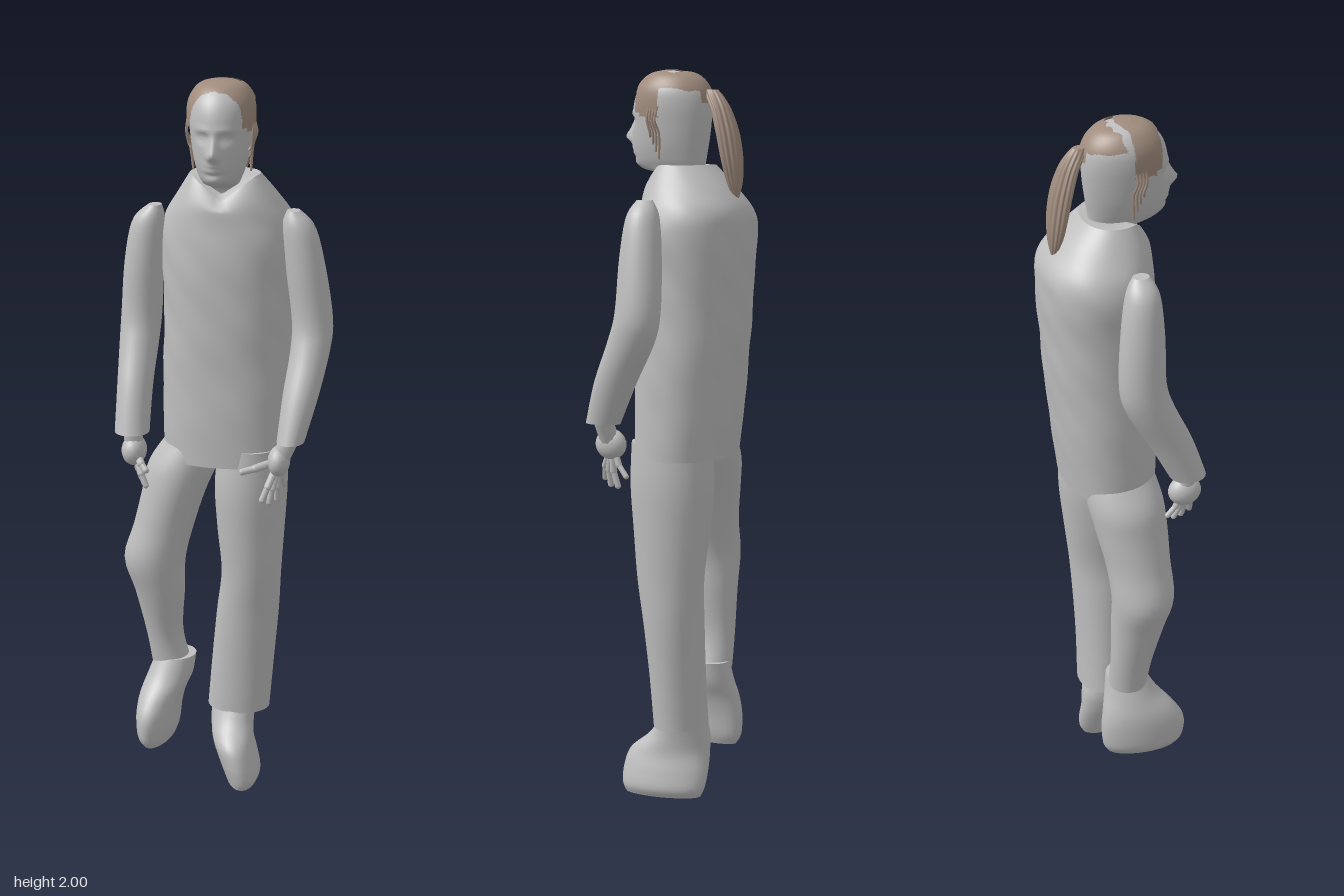
import * as THREE from 'three';

const clothAndSkin = new THREE.MeshStandardMaterial({ color: 0xbebebe });
clothAndSkin.name = 'lightGrey';
const hairBrown = new THREE.MeshStandardMaterial({ color: 0xa08c7e, side: THREE.DoubleSide });
hairBrown.name = 'hairBrown';

const gauss = (d, s) => Math.exp(-(d * d) / (2 * s * s));

// Smoothly interpolates the rows of a cross-section table
function sample(rows, t) {
  const n = rows.length - 1, f = t * n, i = Math.min(Math.floor(f), n - 1), u = f - i;
  const at = (k) => rows[Math.max(0, Math.min(n, k))];
  return rows[0].map((_, c) => {
    const [a, b, d, e] = [at(i - 1)[c], at(i)[c], at(i + 1)[c], at(i + 2)[c]];
    const m1 = (d - a) / 2, m2 = (e - b) / 2, u2 = u * u, u3 = u2 * u;
    return (2 * u3 - 3 * u2 + 1) * b + (u3 - 2 * u2 + u) * m1 + (3 * u2 - 2 * u3) * d + (u3 - u2) * m2;
  });
}

// Lofts horizontal rings [y, centreX, centreZ, radiusX, radiusZ], bottom to top
function loft(rows, { rings = 28, sides = 32, power = 2, shape, keep, caps = true } = {}) {
  const pos = [], idx = [];
  const p = new THREE.Vector3();
  for (let i = 0; i <= rings; i++) {
    const [y, cx, cz, rx, rz] = sample(rows, i / rings);
    for (let j = 0; j < sides; j++) {
      const a = (j / sides) * Math.PI * 2, s = Math.sin(a), c = Math.cos(a), e = 2 / power;
      p.set(cx + rx * Math.sign(s) * Math.abs(s) ** e, y, cz + rz * Math.sign(c) * Math.abs(c) ** e);
      if (shape) shape(p, a, i / rings);
      pos.push(p.x, p.y, p.z);
    }
  }
  const tri = (...v) => {
    const m = [0, 1, 2].map((k) => (pos[v[0] * 3 + k] + pos[v[1] * 3 + k] + pos[v[2] * 3 + k]) / 3);
    if (!keep || keep(...m)) idx.push(...v);
  };
  for (let i = 0; i < rings; i++) {
    for (let j = 0; j < sides; j++) {
      const k = (j + 1) % sides, a = i * sides + j, b = i * sides + k;
      tri(a, b, a + sides);
      tri(b, b + sides, a + sides);
    }
  }
  // End caps own their vertices, so their edges stay sharp
  if (caps) for (const [ring, up] of [[0, false], [rings, true]]) {
    const start = pos.length / 3, mid = [0, 0, 0];
    for (let j = 0; j < sides; j++) for (let k = 0; k < 3; k++) {
      const v = pos[(ring * sides + j) * 3 + k];
      pos.push(v);
      mid[k] += v / sides;
    }
    pos.push(...mid);
    for (let j = 0; j < sides; j++) {
      const a = start + j, b = start + ((j + 1) % sides), m = start + sides;
      if (up) tri(a, b, m); else tri(b, a, m);
    }
  }
  const g = new THREE.BufferGeometry();
  g.setAttribute('position', new THREE.Float32BufferAttribute(pos, 3));
  g.setIndex(idx);
  g.computeVertexNormals();
  return g;
}

function add(parent, name, geometry, material = clothAndSkin) {
  const mesh = new THREE.Mesh(geometry, material);
  mesh.name = name;
  parent.add(mesh);
  return mesh;
}

// Rounded rod between two points
function rod(parent, name, a, b, r) {
  const d = b.clone().sub(a);
  const m = add(parent, name, new THREE.CapsuleGeometry(r, d.length(), 4, 10));
  m.position.copy(a).addScaledVector(d, 0.5);
  m.quaternion.setFromUnitVectors(new THREE.Vector3(0, 1, 0), d.normalize());
}

// Palm, wrist and two-jointed fingers
function hand(parent, name, wrist, palm, scale, fingers) {
  const g = new THREE.Group();
  g.name = name;
  parent.add(g);
  const w = new THREE.Vector3(...wrist), c = new THREE.Vector3(...palm);
  rod(g, 'wrist', w, c, 0.026);
  const p = add(g, 'palm', new THREE.SphereGeometry(1, 20, 14));
  p.position.copy(c);
  p.scale.set(...scale);
  for (const [x, y, z, r] of fingers) {
    const tip = new THREE.Vector3(x, y, z);
    const root = c.clone().lerp(tip, 0.3), joint = c.clone().lerp(tip, 0.65);
    joint.z += 0.006;
    rod(g, 'fingerBase', root, joint, r);
    rod(g, 'fingerTip', joint, tip, r * 0.85);
  }
}

// Head rings given as y, front z, back z, half width
const headRows = [
  [1.66, 0.05, -0.06, 0.052], [1.715, 0.06, -0.06, 0.05], [1.735, 0.125, -0.06, 0.05],
  [1.76, 0.146, -0.063, 0.06], [1.80, 0.152, -0.069, 0.071], [1.85, 0.152, -0.075, 0.079],
  [1.90, 0.149, -0.077, 0.084], [1.94, 0.137, -0.07, 0.081], [1.97, 0.115, -0.05, 0.066],
  [1.988, 0.088, -0.02, 0.044], [1.996, 0.05, 0.03, 0.008],
].map(([y, f, b, rx]) => [y, -0.004, (f + b) / 2, rx, (f - b) / 2]);

// Sculpts nose, brow, eyes, lips and chin on the front of the head
function sculptFace(p) {
  if (p.z < 0.07 || p.y < 1.72) return;
  const x = p.x + 0.004, y = p.y, e = Math.abs(x) - 0.03;
  let d = 0.027 * gauss(x, 0.010) * gauss(y - 1.822, 0.012);
  d += 0.012 * gauss(x, 0.008) * gauss(y - 1.848, 0.014);
  d += 0.007 * gauss(Math.abs(x) - 0.012, 0.006) * gauss(y - 1.814, 0.007);
  d -= 0.012 * gauss(e, 0.013) * gauss(y - 1.862, 0.009);
  d += 0.006 * gauss(e, 0.007) * gauss(y - 1.861, 0.005);
  d += 0.004 * gauss(e, 0.018) * gauss(y - 1.882, 0.006);
  d += 0.010 * gauss(x, 0.017) * gauss(y - 1.785, 0.011);
  d -= 0.006 * gauss(x, 0.018) * gauss(y - 1.785, 0.003);
  d -= 0.005 * gauss(x, 0.022) * gauss(y - 1.768, 0.005);
  d += 0.006 * gauss(x, 0.018) * gauss(y - 1.75, 0.009);
  p.z += d;
}

export function createModel() {
  const model = new THREE.Group();
  model.name = 'walkingPerson';

  // Long loose top with a V neckline
  const torso = [
    [0.955, 0.002, -0.012, 0.174, 0.126], [1.08, 0, -0.02, 0.176, 0.134], [1.25, 0, -0.03, 0.176, 0.142],
    [1.42, 0, -0.036, 0.174, 0.15], [1.55, 0, -0.042, 0.184, 0.15], [1.62, 0, -0.043, 0.172, 0.145],
    [1.68, 0, -0.025, 0.138, 0.12], [1.745, -0.003, -0.004, 0.094, 0.076],
  ];
  add(model, 'top', loft(torso, {
    rings: 48, sides: 56, power: 2.2,
    shape: (p, a, t) => {
      const wave = 0.002 * Math.sin(p.y * 38 + a * 3) * Math.sin(a * 5 + p.y * 9) * Math.sin(t * Math.PI);
      p.x += wave * Math.sin(a);
      p.z += wave * Math.cos(a);
      if (Math.cos(a) > 0) p.y -= 0.06 * Math.max(0, 1 - Math.abs(p.x) / 0.085) * Math.max(0, (t - 0.8) / 0.2);
    },
  }));

  // Sleeves; the centre column differs between the two arms
  const sleeve = (name, xs, cuff) => add(model, name, loft([
    [1.055, xs[0], 0.135, cuff, 0.05], [1.17, xs[1], 0.085, 0.048, 0.06], [1.28, xs[2], 0.028, 0.053, 0.066],
    [1.36, xs[3], 0.006, 0.055, 0.063], [1.5, xs[4], 0.008, 0.053, 0.058], [1.61, xs[5], 0.012, 0.044, 0.045],
    [1.655, xs[6], 0.014, 0.018, 0.022],
  ]));
  sleeve('leftSleeve', [0.202, 0.22, 0.235, 0.236, 0.217, 0.198, 0.184], 0.037);
  sleeve('rightSleeve', [-0.232, -0.234, -0.234, -0.231, -0.222, -0.208, -0.19], 0.047);

  hand(model, 'leftHand', [0.2, 1.06, 0.135], [0.17, 0.995, 0.13], [0.03, 0.042, 0.046], [
    [0.08, 0.975, 0.18, 0.011], [0.132, 0.895, 0.172, 0.01], [0.147, 0.88, 0.145, 0.01],
    [0.163, 0.88, 0.113, 0.01], [0.175, 0.91, 0.08, 0.009],
  ]);
  hand(model, 'rightHand', [-0.23, 1.06, 0.135], [-0.228, 1.0, 0.13], [0.034, 0.042, 0.046], [
    [-0.186, 0.96, 0.178, 0.011], [-0.19, 0.91, 0.16, 0.01], [-0.2, 0.905, 0.132, 0.01],
    [-0.215, 0.912, 0.105, 0.01], [-0.23, 0.93, 0.082, 0.009],
  ]);

  // Trousers: straight left leg, bent and lifted right leg
  add(model, 'leftTrouserLeg', loft([
    [0.2, 0.035, -0.012, 0.088, 0.072], [0.35, 0.048, -0.008, 0.088, 0.075], [0.5, 0.062, -0.004, 0.087, 0.084],
    [0.62, 0.072, 0, 0.083, 0.095], [0.75, 0.07, -0.002, 0.093, 0.108], [0.88, 0.07, -0.004, 0.1, 0.119],
    [1, 0.075, -0.006, 0.092, 0.115],
  ]));
  add(model, 'rightTrouserLeg', loft([
    [0.325, -0.16, -0.005, 0.055, 0.055], [0.42, -0.178, 0, 0.052, 0.06], [0.55, -0.187, 0.015, 0.07, 0.076],
    [0.65, -0.198, 0.025, 0.086, 0.087], [0.75, -0.172, 0.02, 0.084, 0.09], [0.85, -0.145, 0.01, 0.088, 0.1],
    [0.93, -0.12, 0, 0.096, 0.105], [1, -0.085, -0.01, 0.085, 0.1],
  ]));

  // Shoes, turned slightly outward towards the toe
  const shoe = (name, rows, turn) => add(model, name, loft(rows, {
    shape: (p) => { p.x += turn * (p.z - 0.03); },
  }));
  shoe('leftShoe', [
    [0, 0.052, 0.036, 0.044, 0.108], [0.025, 0.052, 0.035, 0.054, 0.118], [0.07, 0.04, 0.034, 0.058, 0.121],
    [0.12, 0.026, 0.028, 0.06, 0.113], [0.17, 0.024, 0.0, 0.062, 0.083], [0.22, 0.03, -0.012, 0.064, 0.062],
  ], 0.15);
  shoe('rightShoe', [
    [0.1, -0.188, 0.03, 0.038, 0.1], [0.13, -0.19, 0.032, 0.05, 0.117], [0.19, -0.188, 0.032, 0.056, 0.12],
    [0.24, -0.18, 0.022, 0.06, 0.103], [0.29, -0.163, 0.006, 0.062, 0.076], [0.345, -0.15, -0.005, 0.056, 0.056],
  ], -0.1);

  // Head and neck in one piece
  add(model, 'head', loft(headRows, { rings: 80, sides: 88, shape: sculptFace }));

  // Hair shell: front band and crown with a ragged parting between them
  const hairRows = headRows.slice(3).map(([y, x, z, rx, rz]) => [y + 0.003, x, z, rx + 0.007, rz + 0.005]);
  const keepHair = (x, y, z) => {
    const rag = 0.004 * Math.sin(x * 190) + 0.003 * Math.sin(x * 70 + 1);
    const arch = 0.022 * gauss(x, 0.03);
    if (z > 0.115 + rag * 0.3 || y < 1.87 + rag) return false;
    if (z > 0.032 - arch + rag * 0.3) return y > 1.885 || z < 0.095;
    if (z > 0.01 - arch + rag && x < 0.045) return false;
    return y > 1.947 + rag * 0.5 + 0.1 * Math.min(z, 0) || (z < -0.05 && Math.abs(x) < 0.03 && y > 1.91);
  };
  add(model, 'hair', loft(hairRows, { rings: 80, sides: 110, keep: keepHair }), hairBrown);

  // Ponytail with strand ridges
  add(model, 'ponytail', loft([
    [1.655, -0.008, -0.157, 0.008, 0.006], [1.7, -0.008, -0.152, 0.028, 0.018], [1.76, -0.006, -0.145, 0.04, 0.024],
    [1.83, -0.005, -0.132, 0.04, 0.026], [1.89, -0.004, -0.113, 0.031, 0.025], [1.925, -0.004, -0.093, 0.021, 0.026],
    [1.945, -0.004, -0.08, 0.012, 0.022],
  ], {
    rings: 36, sides: 64,
    shape: (p, a, t) => {
      const k = 0.003 * Math.cos(a * 13) * Math.sin(t * Math.PI);
      p.x += k * Math.sin(a);
      p.z += k * Math.cos(a);
    },
  }), hairBrown);

  // Loose strands beside the face
  for (const s of [-1, 1]) for (let i = 0; i < 4; i++) {
    const z = 0.035 + i * 0.009;
    const path = new THREE.CatmullRomCurve3([
      [0.085, 1.9, z], [0.094 - i * 0.002, 1.865, z + 0.004], [0.083, 1.83, z - 0.003], [0.077, 1.76 + i * 0.02, z],
    ].map(([x, y, d]) => new THREE.Vector3(s * x - 0.004, y, d)));
    add(model, 'hairStrand', new THREE.TubeGeometry(path, 16, 0.0035, 6), hairBrown);
  }
  return model;
}
